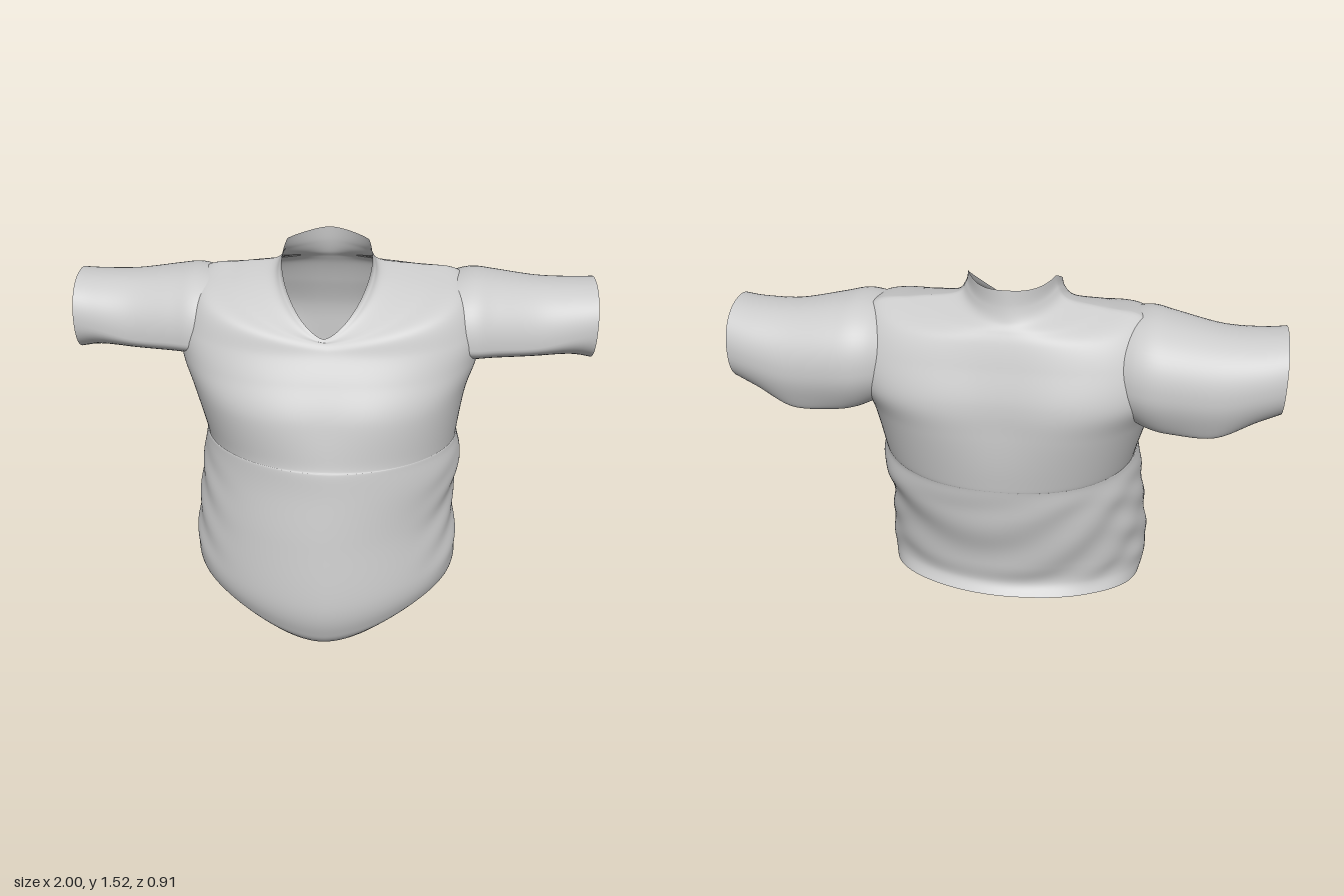
import * as THREE from 'three';

const material = new THREE.MeshStandardMaterial({ color: 0xcccccc, side: THREE.DoubleSide });

// Smoothly interpolate a table of section rows at t in 0..1
function sampleRows(rows, t) {
  const f = t * (rows.length - 1);
  const i = Math.min(Math.floor(f), rows.length - 2);
  const u = f - i;
  const row = (k) => rows[THREE.MathUtils.clamp(k, 0, rows.length - 1)];
  return rows[0].map((_, c) => {
    const [a, b, d, e] = [row(i - 1)[c], row(i)[c], row(i + 1)[c], row(i + 2)[c]];
    const m0 = (d - a) / 2, m1 = (e - b) / 2;
    return (2 * u ** 3 - 3 * u * u + 1) * b + (u ** 3 - 2 * u * u + u) * m0
      + (3 * u * u - 2 * u ** 3) * d + (u ** 3 - u * u) * m1;
  });
}

// Skin closed rings of points; faces whose centre satisfies skip() are left open
function loft(name, rows, steps, around, pointAt, skip = () => false) {
  const pts = [];
  for (let j = 0; j <= steps; j++) {
    const row = sampleRows(rows, j / steps);
    for (let i = 0; i < around; i++) pts.push(pointAt(row, (i / around) * Math.PI * 2));
  }
  const index = [];
  for (let j = 0; j < steps; j++) {
    for (let i = 0; i < around; i++) {
      const a = j * around + i, b = j * around + (i + 1) % around;
      const c = a + around, d = b + around;
      const mid = pts[a].clone().add(pts[d]).multiplyScalar(0.5);
      if (!skip(mid)) index.push(a, c, b, b, c, d);
    }
  }
  const geo = new THREE.BufferGeometry().setFromPoints(pts);
  geo.setIndex(index);
  geo.computeVertexNormals();
  const mesh = new THREE.Mesh(geo, material);
  mesh.name = name;
  return mesh;
}

const spow = (v, p) => Math.sign(v) * Math.abs(v) ** p;
const bump = (v, centre, width) => Math.exp(-(((v - centre) / width) ** 2));

// Torso rings: front y, back y, side lift, front dip, centre x, half width,
// front z, back z, squareness of the front half, of the back half
const torsoRows = [
  [0.13, 0.245, -0.02, 0.125, -0.025, 0.515, 0.38, -0.385, 1.8, 2.0],
  [0.16, 0.29, -0.01, 0.09, -0.025, 0.53, 0.425, -0.35, 1.78, 2.0],
  [0.25, 0.38, 0.0, 0.03, -0.025, 0.535, 0.455, -0.365, 1.75, 2.0],
  [0.5, 0.53, 0.0, 0.0, -0.025, 0.515, 0.425, -0.395, 1.8, 2.1],
  [0.7, 0.68, 0.0, 0.0, -0.005, 0.515, 0.395, -0.42, 1.85, 2.2],
  [0.80, 0.76, 0.0, 0.0, -0.005, 0.5, 0.382, -0.43, 1.9, 2.2],
  [0.83, 0.79, 0.0, 0.0, -0.005, 0.497, 0.37, -0.435, 2.0, 2.3],
  [1.0, 1.0, 0.0, 0.0, -0.015, 0.535, 0.345, -0.465, 2.2, 2.5],
  [1.12, 1.13, 0.0, 0.0, -0.015, 0.575, 0.275, -0.462, 2.4, 2.8],
  [1.2, 1.26, 0.02, 0.0, -0.01, 0.57, 0.22, -0.412, 2.6, 3.0],
  [1.235, 1.34, 0.09, 0.0, -0.01, 0.5, 0.2, -0.378, 2.5, 2.8],
  [1.25, 1.38, 0.085, 0.0, -0.015, 0.36, 0.185, -0.355, 2.2, 2.3],
  [1.25, 1.41, 0.085, 0.0, -0.025, 0.22, 0.175, -0.335, 2.0, 2.0],
  [1.255, 1.46, 0.09, 0.0, -0.025, 0.18, 0.17, -0.32, 1.9, 1.9],
  [1.26, 1.52, 0.09, 0.0, -0.025, 0.17, 0.165, -0.313, 1.85, 1.9],
];

function torsoPoint([yf, yb, lift, dip, cx, hw, zf, zb, nf, nb], a) {
  const p = 2 / (a < Math.PI ? nf : nb);
  const c = spow(Math.cos(a), p), s = spow(Math.sin(a), p);
  const y = THREE.MathUtils.lerp(yb, yf, (s + 1) / 2)
    + lift * Math.abs(c) ** (s < 0 ? 0.6 : 1.3) * Math.min(1, 1.6 * (1 + s))
    - dip * Math.max(0, s) ** 4;
  // Cloth folds below the chest seam: bunched sides and swags across the back
  const low = THREE.MathUtils.smoothstep(y, 0.18, 0.35)
    * (1 - THREE.MathUtils.smoothstep(y, 0.62, 0.78));
  const sides = bump(Math.abs(c), 1, 0.2) * Math.sin(y * 38 + s * 9);
  const back = Math.max(0, -s) * Math.sin(y * 24 - c * c * 8 + c * 4);
  let k = 1 + low * (0.008 * sides + 0.012 * back);
  // Shallow hollow down the middle of the chest and between the shoulder blades
  k -= s > 0 ? 0.03 * s * bump(c, 0, 0.25) * bump(y, 1.0, 0.12)
    : -0.07 * s * bump(c, 0, 0.3) * bump(y, 1.1, 0.2);
  return new THREE.Vector3(cx + hw * c * k, y, (zf + zb) / 2 + ((zf - zb) / 2) * s * k);
}

// Sleeve rings: x, top y, middle y, bottom y, front z, back z, backward hang of the underside
const sleeveRows = [
  [0.43, 1.38, 1.19, 1.05, 0.07, -0.36, 0.08],
  [0.48, 1.398, 1.19, 1.035, 0.085, -0.385, 0.11],
  [0.54, 1.405, 1.185, 1.02, 0.085, -0.4, 0.14],
  [0.62, 1.392, 1.18, 1.012, 0.06, -0.4, 0.15],
  [0.78, 1.367, 1.17, 1.012, 0.015, -0.387, 0.14],
  [0.92, 1.365, 1.2, 1.055, -0.005, -0.365, 0.06],
  [1.0, 1.372, 1.22, 1.072, -0.01, -0.345, 0.0],
];

function sleevePoint([x, top, mid, bottom, zf, zb, hang], a, side) {
  const c = spow(Math.cos(a), 0.9), s = spow(Math.sin(a) * side, 0.9);
  const under = Math.max(0, -s);
  return new THREE.Vector3(
    side * x,
    mid + (s > 0 ? top - mid : mid - bottom) * s + 0.6 * hang * Math.max(0, c) * under,
    (zf + zb) / 2 + ((zf - zb) / 2) * c - hang * under * (1 - Math.abs(c)),
  );
}

// Armhole cut so the sleeves open into the body, slanting down towards the back
const inArmhole = ({ x, y, z }) => Math.abs(x) > 0.45
  && ((y - 1.225 - 0.2 * (z + 0.155)) / 0.145) ** 2 + ((z + 0.155) / 0.19) ** 2 < 1;

export function createModel() {
  const shirt = new THREE.Group();
  shirt.name = 'shirt';
  shirt.add(loft('bodyAndCollar', torsoRows, 168, 144, torsoPoint, inArmhole));
  for (const [name, side] of [['leftSleeve', 1], ['rightSleeve', -1]]) {
    shirt.add(loft(name, sleeveRows, 36, 64, (row, a) => sleevePoint(row, a, side)));
  }
  return shirt;
}
